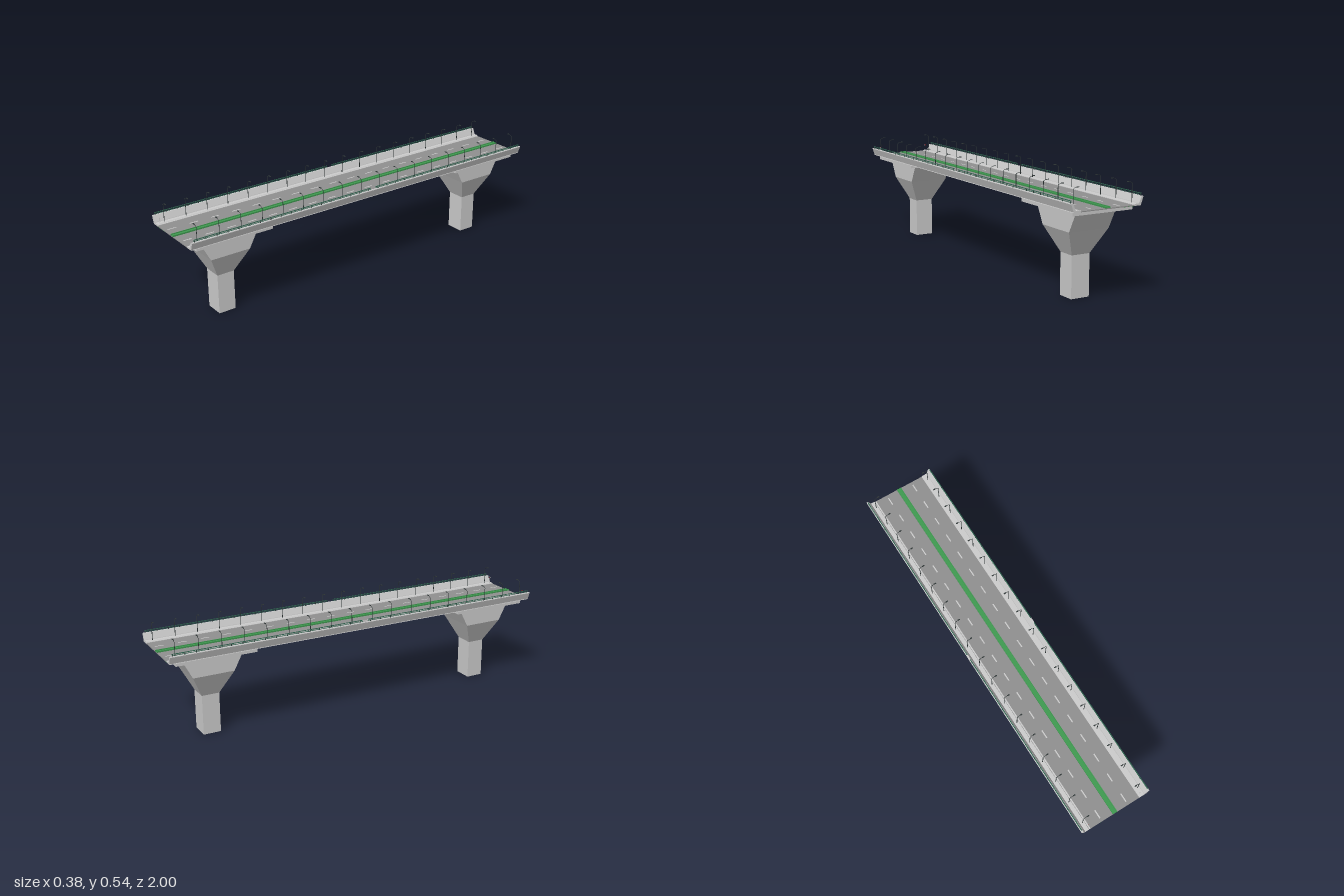
import * as THREE from 'three';

const paint = (color) => new THREE.MeshStandardMaterial({ color, side: THREE.DoubleSide });
const concrete = new THREE.MeshStandardMaterial({ color: 0xcccccc, flatShading: true });
const asphalt = paint(0x909090);
const grass = paint(0x3f9a50);
const white = paint(0xe4e4e4);
const dark = paint(0x303838);
const railGreen = paint(0x2f6650);
const red = paint(0xb02020);

export function createModel() {
  const model = new THREE.Group();
  model.name = 'roadBridge';

  function add(name, geometry, material, x = 0, y = 0, z = 0, parent = model) {
    const mesh = new THREE.Mesh(geometry, material);
    mesh.name = name;
    mesh.position.set(x, y, z);
    parent.add(mesh);
    return mesh;
  }

  // Box given by its limits
  function block(name, material, x0, x1, y0, y1, z0, z1, parent = model) {
    const g = new THREE.BoxGeometry(Math.abs(x1 - x0), y1 - y0, z1 - z0);
    return add(name, g, material, (x0 + x1) / 2, (y0 + y1) / 2, (z0 + z1) / 2, parent);
  }

  // Constant cross-section running the length of the bridge
  function beam(name, points, material, z0 = -1, z1 = 1) {
    const shape = new THREE.Shape(points.map(([x, y]) => new THREE.Vector2(x, y)));
    const g = new THREE.ExtrudeGeometry(shape, { depth: z1 - z0, bevelEnabled: false });
    return add(name, g, material, 0, 0, z0);
  }

  // Piers: a box whose four levels flare to [y, half width, half depth]
  const levels = [[0, 0.048, 0.044], [0.2, 0.048, 0.044], [0.32, 0.106, 0.103], [0.413, 0.106, 0.152]];
  let pierGeometry = new THREE.BoxGeometry(2, 3, 2, 1, 3, 1);
  const p = pierGeometry.attributes.position;
  for (let i = 0; i < p.count; i++) {
    const [y, hx, hz] = levels[Math.round(p.getY(i) + 1.5)];
    p.setXYZ(i, p.getX(i) * hx, y, p.getZ(i) * hz);
  }
  pierGeometry = pierGeometry.toNonIndexed();
  pierGeometry.computeVertexNormals();
  for (const z of [-0.765, 0.765]) {
    add('pier', pierGeometry, concrete, 0, 0, z);
    block('pierCap', concrete, -0.157, 0.157, 0.413, 0.435, z - 0.2, z + 0.2);
  }

  // Road deck, underside panels and planted median
  block('roadDeck', asphalt, -0.14, 0.14, 0.435, 0.439, -1, 1);
  block('undersidePanel', grass, -0.14, -0.07, 0.4342, 0.4352, -1, 1);
  block('undersideStrip', grass, -0.016, -0.011, 0.4342, 0.4352, -1, 1);
  block('medianGrass', grass, -0.012, 0.012, 0.439, 0.442, -1, 1);
  for (const s of [-1, 1]) block('medianKerb', grass, s * 0.009, s * 0.012, 0.439, 0.446, -1, 1);

  // Shared street furniture geometry
  const pole = new THREE.CylinderGeometry(0.0013, 0.0018, 0.087, 6);
  const post = new THREE.CylinderGeometry(0.001, 0.0028, 0.014, 4);
  const head = new THREE.BoxGeometry(0.012, 0.003, 0.005);
  const signPost = new THREE.CylinderGeometry(0.0008, 0.0008, 0.03, 6);
  const signDisc = new THREE.CylinderGeometry(0.0042, 0.0042, 0.0015, 16).rotateX(Math.PI / 2);
  const signFace = new THREE.CircleGeometry(0.0038, 16);

  for (const s of [-1, 1]) {
    // Walkway, kerb and outward-leaning parapet
    beam('walkway', [[s * 0.136, 0.435], [s * 0.176, 0.435], [s * 0.174, 0.44], [s * 0.164, 0.444],
      [s * 0.145, 0.444], [s * 0.143, 0.441], [s * 0.136, 0.441]], concrete);
    beam('parapet', [[s * 0.164, 0.438], [s * 0.176, 0.438], [s * 0.188, 0.472], [s * 0.187, 0.475],
      [s * 0.179, 0.475], [s * 0.166, 0.446]], concrete);

    // Handrail in two lengths with a gap at mid-span
    for (const [z0, z1] of [[-0.99, -0.015], [0.015, 0.99]]) {
      block('handrail', railGreen, s * 0.1815, s * 0.1845, 0.484, 0.487, z0, z1);
      block('lowerRail', railGreen, s * 0.1815, s * 0.1845, 0.478, 0.4795, z0, z1);
    }
    for (let i = 0; i < 36; i++) {
      const z = -0.985 + i * (1.97 / 35);
      add('railPost', post, dark, s * 0.183, 0.48, z);
    }

    // Street lamps reaching over the road
    const arm = new THREE.TubeGeometry(new THREE.CatmullRomCurve3([
      new THREE.Vector3(0, 0.086, 0),
      new THREE.Vector3(-s * 0.008, 0.091, 0),
      new THREE.Vector3(-s * 0.022, 0.094, 0)]), 6, 0.0011, 5);
    for (let i = 0; i < 18; i++) {
      const lamp = new THREE.Group();
      lamp.name = 'streetLamp';
      lamp.position.set(s * 0.154, 0.443, 0.957 - i * 0.113);
      add('lampPole', pole, dark, 0, 0.0435, 0, lamp);
      add('lampArm', arm, dark, 0, 0, 0, lamp);
      add('lampHead', head, dark, -s * 0.022, 0.0935, 0, lamp);
      model.add(lamp);
    }

    // Broken lane lines
    for (let i = 0; i < 18; i++) {
      const z = -0.96 + i * 0.113;
      block('laneDash', white, s * 0.07, s * 0.076, 0.439, 0.4395, z - 0.022, z + 0.022);
    }

    // Round road sign at the front end, red side towards the back
    add('signPost', signPost, concrete, s * 0.143, 0.457, 0.985);
    add('signDisc', signDisc, concrete, s * 0.143, 0.475, 0.985);
    add('signFace', signFace, red, s * 0.143, 0.475, 0.984);
  }
  return model;
}
